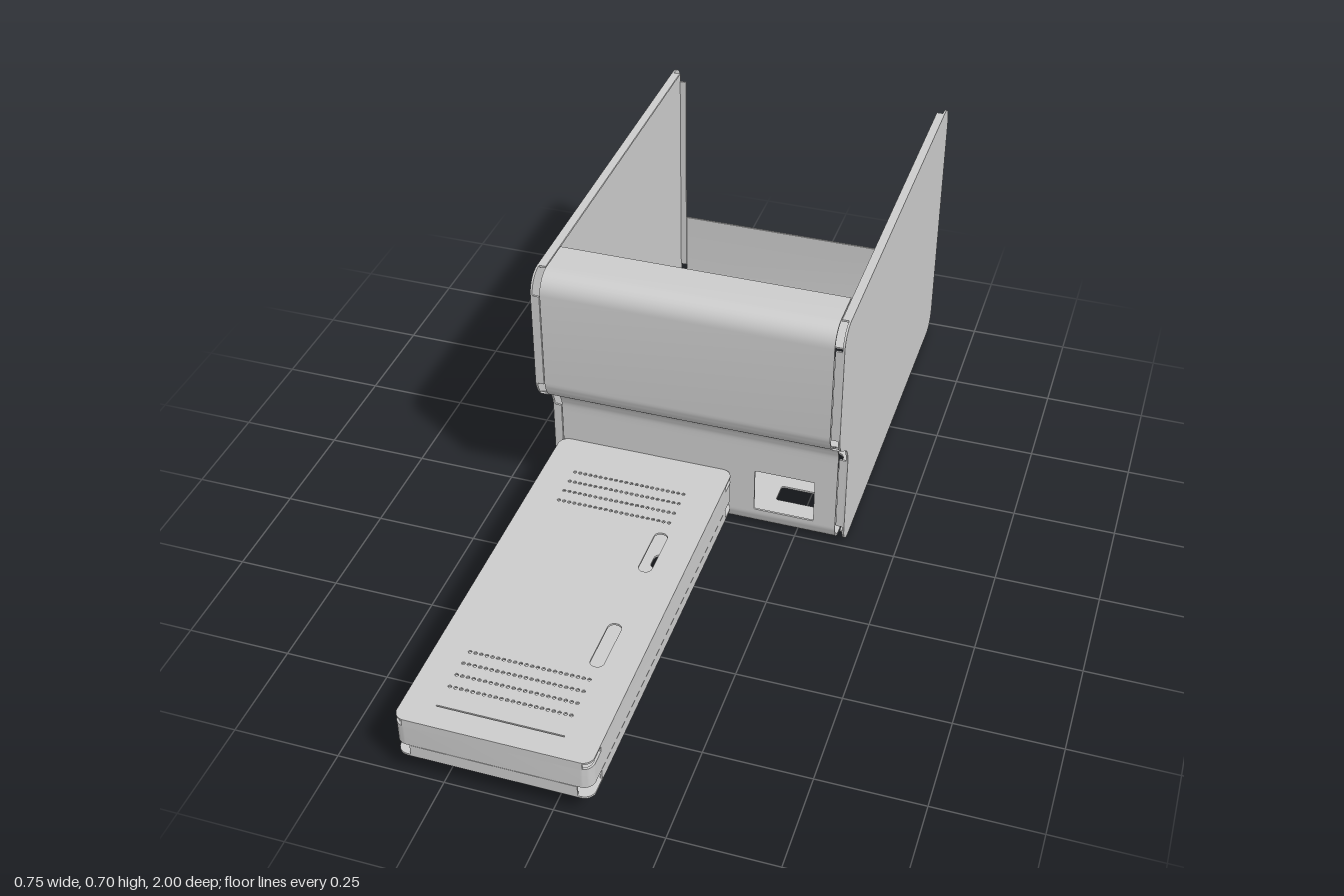
import * as THREE from 'three';
import { toCreasedNormals } from 'three/addons/utils/BufferGeometryUtils.js';

const T = 0.005; // sheet thickness
const metal = new THREE.MeshStandardMaterial({ color: 0xcccccc, side: THREE.DoubleSide });

// Points of a polyline [x, y, cut], each corner rounded over the length "cut"
function rounded(pts, closed = true, steps = 8) {
  const out = [];
  const n = pts.length;
  pts.forEach(([x, y, cut = 0], i) => {
    const p = new THREE.Vector2(x, y);
    if (!cut || (!closed && (i === 0 || i === n - 1))) { out.push(p); return; }
    const toward = (q, d) => p.clone().add(new THREE.Vector2(q[0] - x, q[1] - y).setLength(d));
    const a = pts[(i + n - 1) % n], b = pts[(i + 1) % n];
    const bend = new THREE.CubicBezierCurve(
      toward(a, cut), toward(a, cut * 0.45), toward(b, cut * 0.45), toward(b, cut));
    out.push(...bend.getPoints(steps));
  });
  return out;
}

const rect = (x0, x1, y0, y1, r = 0, steps = 8) =>
  rounded([[x0, y0, r], [x1, y0, r], [x1, y1, r], [x0, y1, r]], true, steps);

function sheet(outline, holes, depth) {
  const shape = new THREE.Shape(outline);
  holes.forEach((h) => shape.holes.push(new THREE.Path(h)));
  const geo = new THREE.ExtrudeGeometry(shape, { depth, bevelEnabled: false });
  return toCreasedNormals(geo, 0.5);
}

function add(group, name, geo) {
  const mesh = new THREE.Mesh(geo, metal);
  mesh.name = name;
  group.add(mesh);
  return mesh;
}

// Horizontal sheet drawn in (x, z), with its underside at y
const flat = (outline, holes, y, depth = T) =>
  sheet(outline, holes, depth).rotateX(Math.PI / 2).translate(0, y + depth, 0);

// Profile drawn in (z, y), extruded along x from x0
const across = (outline, x0, width) =>
  sheet(outline, [], width).rotateY(-Math.PI / 2).translate(x0 + width, 0, 0);

// Bent strip following a (z, y) path, thickened to the left of the path
function bentStrip(path, halfWidth) {
  const pts = rounded(path, false);
  const inner = pts.map((p, i) => {
    const d = pts[Math.min(i + 1, pts.length - 1)].clone().sub(pts[Math.max(i - 1, 0)]).normalize();
    return new THREE.Vector2(p.x - d.y * T, p.y + d.x * T);
  });
  return across([...pts, ...inner.reverse()], -halfWidth, halfWidth * 2);
}

function makeHousing() {
  const g = new THREE.Group();
  g.name = 'housing';
  const w = 0.35;

  // Wrapped sheet: rear lip, floor, front wall and overhanging hood
  add(g, 'rearLip', bentStrip([[-0.998, 0.22], [-0.998, 0, 0.05], [-0.94, 0]], w));
  add(g, 'floor', flat(rect(-w, w, -0.94, -0.06), [
    rect(-0.2, 0.195, -0.8, -0.755),
    rect(-0.05, 0.04, -0.43, -0.41),
    rect(0.165, 0.29, -0.345, -0.27, 0.018),
    rect(0.17, 0.285, -0.17, -0.115, 0.006),
    rect(-0.3, -0.045, -0.165, -0.15, 0.005),
  ], 0));
  add(g, 'frontBend', bentStrip([[-0.06, 0], [0, 0, 0.05], [0, 0.052]], w));
  add(g, 'frontWall', sheet(rect(-w, w, 0.052, 0.25), [rect(0.145, 0.295, 0.06, 0.18, 0.003)], T)
    .translate(0, 0, -T));
  add(g, 'hood', bentStrip(
    [[0, 0.25], [0, 0.3, 0.035], [0.1, 0.37, 0.035], [0.1, 0.703, 0.05], [-0.04, 0.703]], w));

  // Side panels with short inward flanges along each straight edge
  const outline = rounded([
    [-0.998, 0, 0.05], [0, 0, 0.05], [0, 0.3, 0.035],
    [0.1, 0.37, 0.035], [0.1, 0.703, 0.05], [-0.998, 0.703, 0.05],
  ]);
  const flanges = [
    [-0.94, 0, -0.05, 0], [0, 0.06, 0, 0.265], [0.015, 0.3105, 0.085, 0.3595],
    [0.1, 0.4, 0.1, 0.65], [0.05, 0.703, -0.94, 0.703], [-0.998, 0.65, -0.998, 0.06],
  ];
  for (const side of [1, -1]) {
    const panel = new THREE.Group();
    panel.name = side > 0 ? 'leftPanel' : 'rightPanel';
    add(panel, 'panelSheet', across(outline, side > 0 ? 0.373 - T : -0.373, T));
    for (const [z0, y0, z1, y1] of flanges) {
      const strip = bentStrip([[z0, y0], [z1, y1]], 0.009);
      add(panel, 'panelFlange', strip.translate(side * 0.361, 0, 0));
    }
    g.add(panel);
  }
  return g;
}

function makeTray() {
  const g = new THREE.Group();
  g.name = 'slimUnit';
  const [x0, x1, z0, z1] = [-0.355, 0.09, 0.001, 1];
  const cx = (x0 + x1) / 2;
  const outline = rect(x0, x1, z0, z1, 0.025);

  // Wall running around the middle
  add(g, 'middleWall', flat(outline, [rect(x0 + T, x1 - T, z0 + T, z1 - T, 0.022)], 0.092, 0.055));

  // Top cover with ventilation rows, slots and a thin front slit
  const vents = [];
  for (const start of [0.12, 0.77])
    for (let row = 0; row < 4; row++)
      for (let i = 0; i < 22; i++) {
        const x = -0.275 + i * 0.0132, z = start + row * 0.0367;
        vents.push(rect(x - 0.004, x + 0.004, z - 0.004, z + 0.004, 0.0025, 1));
      }
  add(g, 'topCover', flat(outline, [
    ...vents,
    rect(-0.016, 0.016, 0.27, 0.41, 0.015),
    rect(-0.016, 0.016, 0.59, 0.73, 0.015),
    rect(-0.28, 0.01, 0.939, 0.942),
  ], 0.161));

  // Bottom cover with connector openings
  add(g, 'bottomCover', flat(outline, [
    rect(-0.03, 0.06, 0.235, 0.285, 0.015),
    rect(-0.15, -0.06, 0.22, 0.28, 0.015),
    rect(-0.27, -0.17, 0.2, 0.27),
    rect(-0.22, -0.07, 0.94, 0.965, 0.01),
  ], 0.059));

  // Cover flanges, left open at the corners
  const flange = (name, w, h, d, x, y, z) =>
    add(g, name, new THREE.BoxGeometry(w, h, d).translate(x, y, z));
  for (const [name, y, h, inset] of [['topFlange', 0.1535, 0.017, 0.02], ['bottomFlange', 0.0765, 0.029, 0.033]]) {
    for (const x of [x0 + T / 2, x1 - T / 2]) flange(name, T, h, 0.88, x, y, 0.5);
    for (const z of [z0 + T / 2, z1 - T / 2]) flange(name, x1 - x0 - 2 * inset, h, T, cx, y, z);
  }
  return g;
}

export function createModel() {
  const model = new THREE.Group();
  model.name = 'sheetMetalHousing';
  model.add(makeHousing(), makeTray());
  return model;
}
